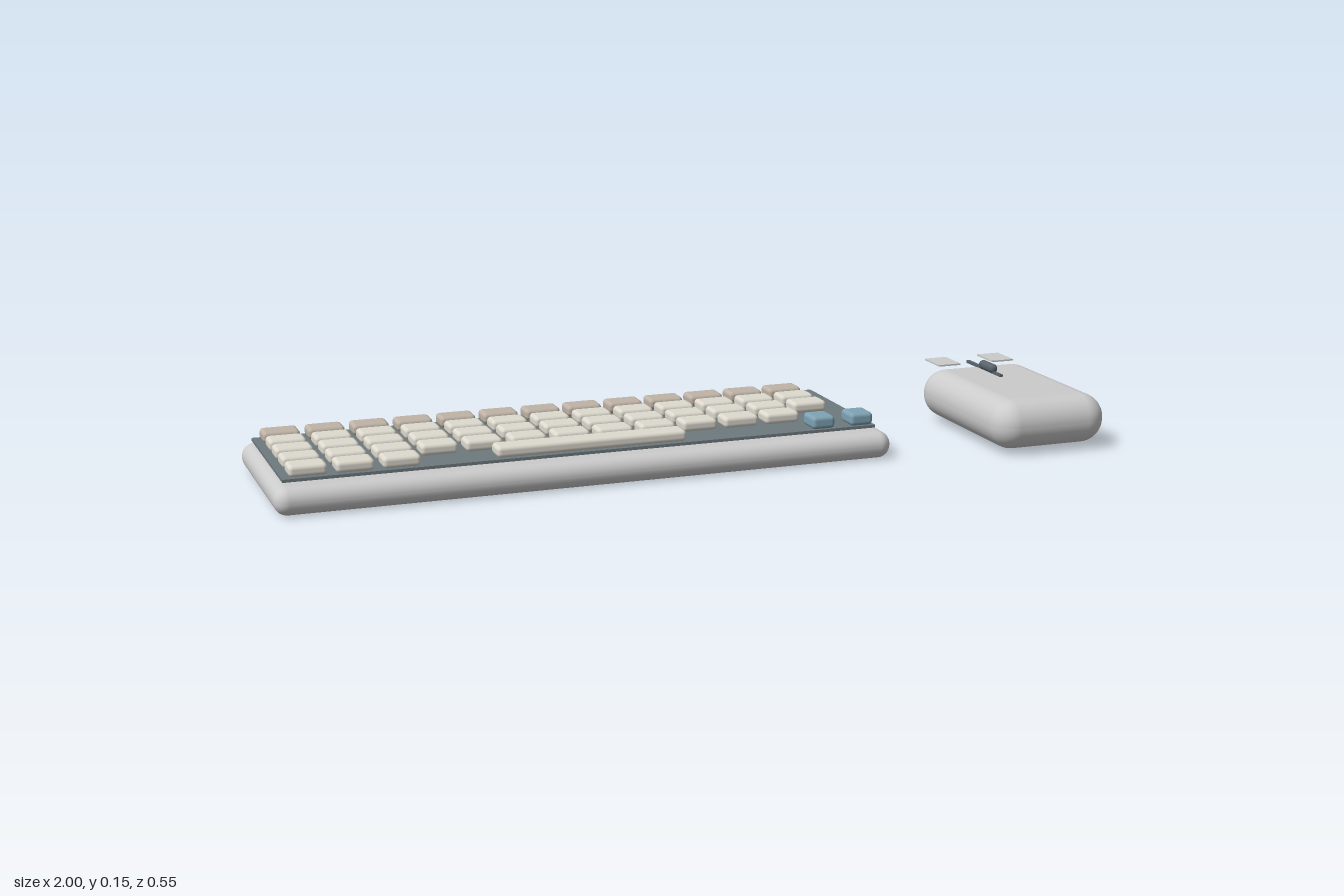
import * as THREE from 'three';
import { RoundedBoxGeometry } from 'three/addons/geometries/RoundedBoxGeometry.js';

const material = (color) => new THREE.MeshStandardMaterial({ color });
const grey = material(0xcccccc);
const slate = material(0x6e7a80);
const dark = material(0x5a646b);
const cream = material(0xdedacf);
const tan = material(0xbfb3a6);
const blue = material(0x7fa3b5);

// Box given by its extents on each axis; rounded when a radius is passed
function block(parent, name, mat, [x0, x1], [y0, y1], [z0, z1], radius = 0, segments = 3) {
  const size = [x1 - x0, y1 - y0, z1 - z0];
  const geometry = radius
    ? new RoundedBoxGeometry(...size, segments, radius)
    : new THREE.BoxGeometry(...size);
  const mesh = new THREE.Mesh(geometry, mat);
  mesh.name = name;
  mesh.position.set((x0 + x1) / 2, (y0 + y1) / 2, (z0 + z1) / 2);
  parent.add(mesh);
  return mesh;
}

function createKeyboard() {
  const keyboard = new THREE.Group();
  keyboard.name = 'keyboard';
  block(keyboard, 'case', grey, [-1, 0.467], [0, 0.064], [-0.276, 0.184], 0.031, 5);
  block(keyboard, 'keyPlate', slate, [-0.975, 0.44], [0.068, 0.075], [-0.252, 0.136]);

  // Keycaps, placed by centre, width and depth
  const keys = new THREE.Group();
  keys.name = 'keys';
  keyboard.add(keys);
  const key = (name, mat, x, z, width, depth, top = 0.102) =>
    block(keys, name, mat, [x - width / 2, x + width / 2], [0.075, top],
      [z - depth / 2, z + depth / 2], 0.01, 2);

  const rowCounts = [13, 13, 13, 12, 3];
  const rowZ = (row) => -0.211 + row * 0.0783;
  rowCounts.forEach((count, row) => {
    for (let i = 0; i < count; i++) {
      key('key', row === 0 ? tan : cream, -0.916 + i * 0.1048, rowZ(row), 0.087, 0.058);
    }
  });
  key('spaceBar', cream, -0.262, rowZ(4), 0.454, 0.056);
  for (const x of [0.308, 0.406]) key('arrowKey', blue, x, 0.104, 0.058, 0.064, 0.106);
  return keyboard;
}

function createMouse() {
  const mouse = new THREE.Group();
  mouse.name = 'mouse';
  block(mouse, 'body', grey, [0.7, 1], [0.01, 0.13], [-0.174, 0.276], 0.058, 6);

  // Thin click pads either side of the wheel
  for (const side of [-1, 1]) {
    const x = 0.847 + side * 0.075;
    block(mouse, 'button', grey, [x - 0.03, x + 0.03], [0.136, 0.14], [-0.214, -0.132]);
  }

  // Centre seam and scroll wheel
  block(mouse, 'seam', dark, [0.843, 0.851], [0.129, 0.136], [-0.178, 0.002]);
  block(mouse, 'scrollWheel', dark, [0.836, 0.858], [0.131, 0.153], [-0.104, -0.034], 0.01, 4);
  return mouse;
}

export function createModel() {
  const model = new THREE.Group();
  model.name = 'keyboardAndMouse';
  model.add(createKeyboard(), createMouse());
  return model;
}
